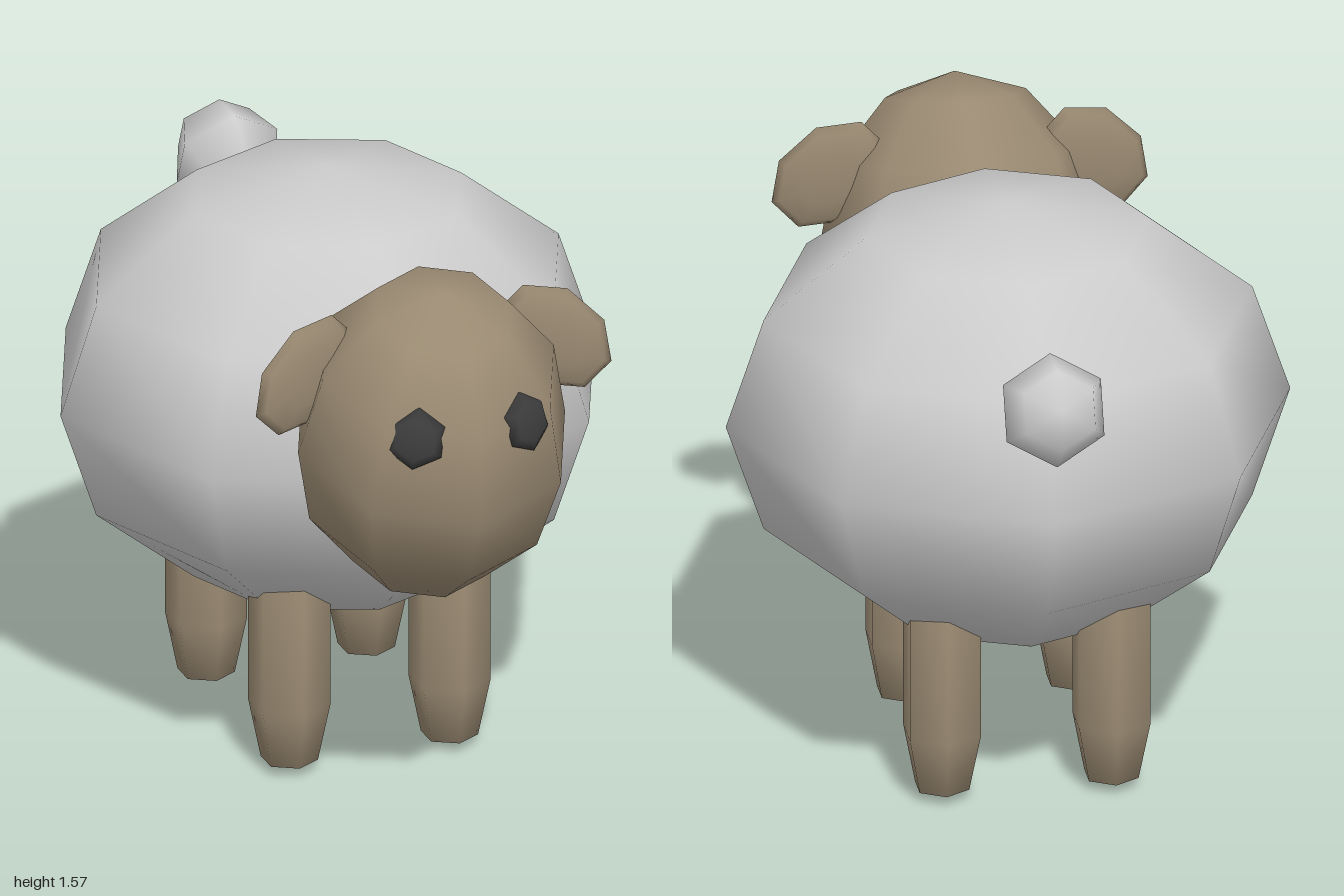
import * as THREE from 'three';

const wool = new THREE.MeshStandardMaterial({ color: 0xcccccc });
const hide = new THREE.MeshStandardMaterial({ color: 0x9a8a72 });
const dark = new THREE.MeshStandardMaterial({ color: 0x3c3c3c });
const rad = THREE.MathUtils.degToRad;

function part(name, geometry, material, x, y, z) {
  const mesh = new THREE.Mesh(geometry, material);
  mesh.name = name;
  mesh.position.set(x, y, z);
  return mesh;
}

export function createModel() {
  const sheep = new THREE.Group();
  sheep.name = 'sheep';

  // Woolly body
  const body = new THREE.SphereGeometry(0.75, 8, 6).scale(1, 0.8, 1);
  sheep.add(part('body', body, wool, 0, 0.967, -0.12));

  // Tail ball, its pole pointing back and up
  const tail = new THREE.SphereGeometry(0.15, 6, 4).rotateY(rad(30)).rotateX(rad(-67));
  sheep.add(part('tail', tail, wool, 0, 1.29, -0.85));

  // Head, tilted before it is stretched
  const head = new THREE.SphereGeometry(1, 8, 6).rotateX(rad(15)).scale(0.375, 0.45, 0.373);
  sheep.add(part('head', head, hide, 0, 1.117, 0.637));

  // Flat ears and eyes, their poles facing forward
  const earShape = new THREE.SphereGeometry(1, 8, 6)
    .rotateX(Math.PI / 2).rotateZ(rad(22.5)).scale(0.18, 0.13, 0.035);
  const eyeShape = new THREE.SphereGeometry(0.083, 6, 4)
    .rotateX(Math.PI / 2).rotateZ(Math.PI / 2).scale(1, 1, 0.36);

  // Leg: six-sided, tapering to the hoof, its top sunk in the body
  const legShape = new THREE.LatheGeometry([
    [0, 0.002], [0.076, 0.03], [0.109, 0.19], [0.109, 0.66], [0, 0.68],
  ].map(([r, y]) => new THREE.Vector2(r, y)), 6);

  for (const side of [1, -1]) {
    const label = side > 0 ? 'left' : 'right';

    const ear = part(label + 'Ear', earShape, hide, side * 0.35, 1.33, 0.622);
    ear.rotation.set(0, side * -0.2, side * rad(-45));
    sheep.add(ear);

    const eye = part(label + 'Eye', eyeShape, dark, side * 0.155, 1.242, 0.925);
    eye.rotation.set(-0.25, side * 0.45, side * 0.1, 'YXZ');
    sheep.add(eye);

    sheep.add(part(label + 'FrontLeg', legShape, hide, side * 0.225, 0, 0.185));
    sheep.add(part(label + 'HindLeg', legShape, hide, side * 0.225, 0, -0.42));
  }

  return sheep;
}
